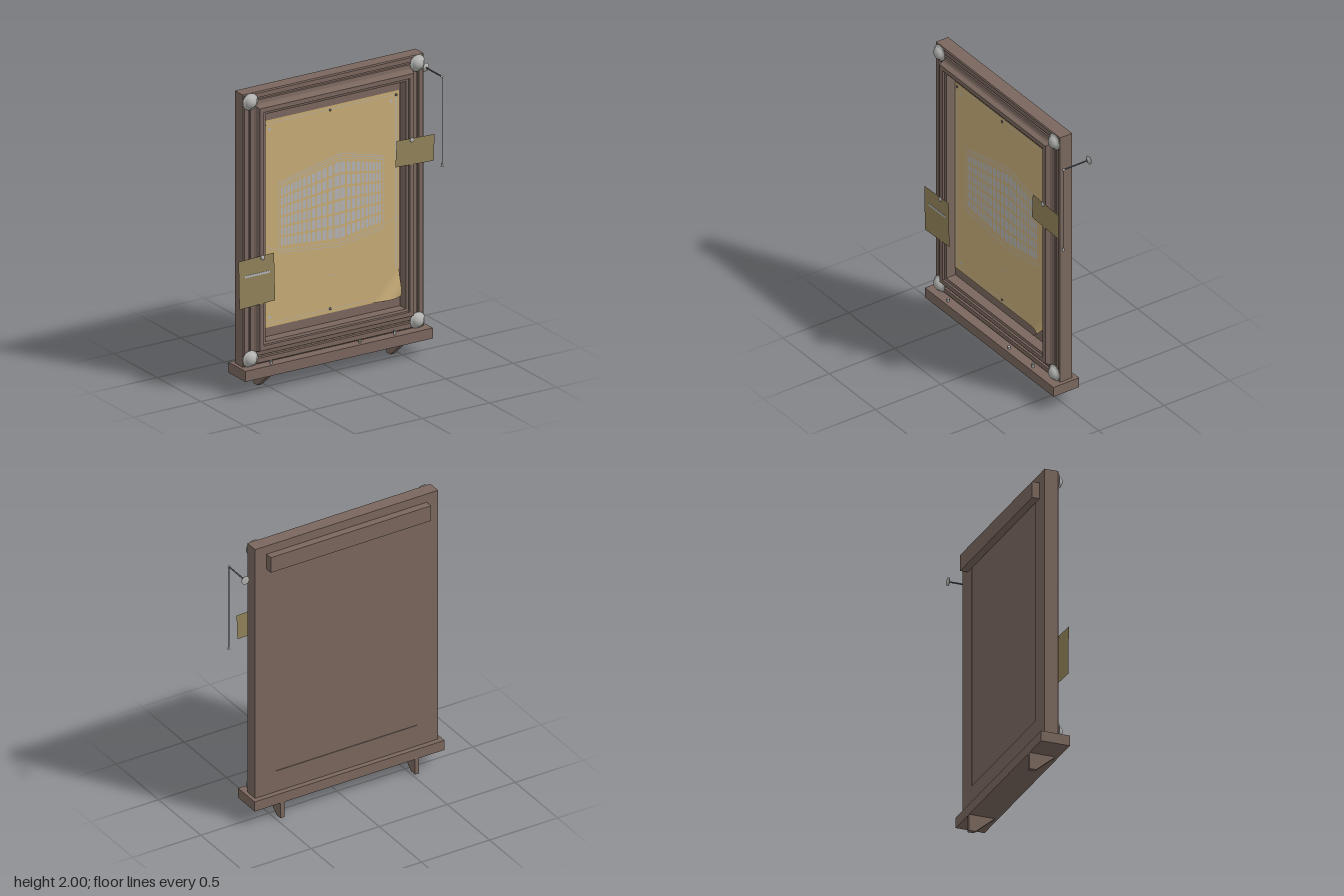
import * as THREE from 'three';
import { mergeGeometries } from 'three/addons/utils/BufferGeometryUtils.js';

const mat = (name, color, side = THREE.FrontSide) => {
  const m = new THREE.MeshStandardMaterial({ color, side });
  m.name = name;
  return m;
};

export function createModel() {
  const wood = mat('brown wood', 0x7a675e);
  const paper = mat('tan paper', 0xc6ab77, THREE.DoubleSide);
  const notePaper = mat('olive note paper', 0x91835a, THREE.DoubleSide);
  const ink = mat('pale grey ink', 0xb4b4b6, THREE.DoubleSide);
  const metal = mat('silver metal', 0xb2b2b0);
  const darkMetal = mat('dark metal', 0x66666a);

  const model = new THREE.Group();
  model.name = 'noticeBoard';
  const add = (name, geometry, material, x = 0, y = 0, z = 0) => {
    const mesh = new THREE.Mesh(geometry, material);
    mesh.name = name;
    mesh.position.set(x, y, z);
    model.add(mesh);
    return mesh;
  };
  // box given by its two corners
  const block = (name, m, x0, x1, y0, y1, z0, z1) =>
    add(name, new THREE.BoxGeometry(x1 - x0, y1 - y0, z1 - z0), m, (x0 + x1) / 2, (y0 + y1) / 2, (z0 + z1) / 2);
  // flat-shaded geometry from a list of four-cornered faces
  const quads = (faces) => {
    const p = [];
    for (const [a, b, c, d] of faces) p.push(...a, ...b, ...c, ...a, ...c, ...d);
    const g = new THREE.BufferGeometry();
    g.setAttribute('position', new THREE.Float32BufferAttribute(p, 3));
    g.computeVertexNormals();
    return g;
  };

  // mitred moulding: [inset from outer edge, z]
  const X0 = -0.71, X1 = 0.635, Y0 = 0.18, Y1 = 2;
  const profile = [[0, -0.055], [0, 0.036], [0.008, 0.042], [0.038, 0.042], [0.042, 0.03], [0.052, 0.03],
    [0.056, 0.038], [0.08, 0.042], [0.09, 0.05], [0.1, 0.08], [0.13, 0.08], [0.134, 0.068], [0.15, 0.064],
    [0.15, -0.055]];
  const rings = profile.map(([o, z]) => [[X0 + o, Y0 + o, z], [X1 - o, Y0 + o, z], [X1 - o, Y1 - o, z], [X0 + o, Y1 - o, z]]);
  const faces = [];
  rings.forEach((r, i) => {
    const n = rings[(i + 1) % rings.length];
    for (let k = 0; k < 4; k++) faces.push([r[k], r[(k + 1) % 4], n[(k + 1) % 4], n[k]]);
  });
  add('mouldedFrame', quads(faces), wood);

  // back panel, hanging rail and shelf
  block('backPanel', wood, -0.56, 0.485, 0.33, 1.85, -0.051, -0.005);
  block('hangingRail', wood, -0.626, 0.55, 1.83, 1.94, -0.105, -0.055);
  block('shelf', wood, -0.735, 0.66, 0.11, 0.18, -0.09, 0.105);

  // shelf brackets, drawn in side profile and turned to face along x
  const side = new THREE.Shape();
  side.moveTo(-0.085, 0.11).lineTo(0.045, 0).lineTo(0.09, 0).lineTo(0.09, 0.11);
  for (const x of [-0.548, 0.44]) {
    const g = new THREE.ExtrudeGeometry(side, { depth: 0.03, bevelEnabled: false });
    add('shelfBracket', g.rotateY(Math.PI / 2), wood, x, 0, 0);
  }

  // domed corner bosses
  const boss = [[0, 0.026], [0.03, 0.028], [0.044, 0.036], [0.055, 0.042], [0.055, 0.047], [0.043, 0.051],
    [0.041, 0.057], [0.036, 0.066], [0.027, 0.074], [0.015, 0.08], [0, 0.082]].map(([r, z]) => new THREE.Vector2(r, z));
  const bossGeometry = new THREE.LatheGeometry(boss, 32).rotateX(Math.PI / 2);
  for (const x of [-0.66, 0.584]) for (const y of [0.228, 1.947]) add('cornerBoss', bossGeometry, metal, x, y);

  // poster with its lower right corner rolled forward
  const PX0 = -0.553, PX1 = 0.474, PY0 = 0.392, PY1 = 1.777;
  const sheet = new THREE.PlaneGeometry(PX1 - PX0, PY1 - PY0, 60, 80);
  sheet.translate((PX0 + PX1) / 2, (PY0 + PY1) / 2, 0);
  const pos = sheet.attributes.position, R = 0.075;
  for (let i = 0; i < pos.count; i++) {
    const x = pos.getX(i), y = pos.getY(i);
    const d = (0.2 - (PX1 - x) - (y - PY0)) / Math.SQRT2;
    if (d <= 0) continue;
    const shift = (R * Math.sin(d / R) - d) / Math.SQRT2;
    pos.setXYZ(i, x + shift, y - shift, R * (1 - Math.cos(d / R)));
  }
  sheet.computeVertexNormals();
  add('poster', sheet, paper, 0, 0, 0.002);

  // printed drawing: thin strokes and a two-sided tower with window grid
  const Z = 0.0045, print = [];
  const stroke = (x0, y0, x1, y1, w) => {
    const l = Math.hypot(x1 - x0, y1 - y0), u = -(y1 - y0) / l * w / 2, v = (x1 - x0) / l * w / 2;
    print.push([[x0 - u, y0 - v, Z], [x1 - u, y1 - v, Z], [x1 + u, y1 + v, Z], [x0 + u, y0 + v, Z]]);
  };
  const lerp = THREE.MathUtils.lerp;
  const corner = 0.035;
  for (const [edge, top, bottom, cols] of [[-0.41, 1.31, 0.915, 13], [0.34, 1.33, 0.915, 10]]) {
    // columns widen towards the near corner
    const at = (t) => lerp(corner, edge, 1.5 * t / (1 + 0.5 * t) * (1 - 0.0 * t));
    const point = (t, v) => {
      const x = at(t), s = (x - corner) / (edge - corner);
      return [x, lerp(lerp(0.87, bottom, s), lerp(1.4, top, s), v), Z];
    };
    for (let c = 0; c < cols; c++) for (let r = 0; r < 6; r++) {
      const a = (c + 0.14) / cols, b = (c + 0.84) / cols, lo = (r + 0.1) / 6, hi = (r + 0.9) / 6;
      const q = [point(a, lo), point(b, lo), point(b, hi), point(a, hi)];
      print.push(edge > corner ? q : q.reverse());
    }
    const out = edge + Math.sign(edge) * 0.015;
    for (const h of [0, 0.02, 0.035]) stroke(corner, 1.41 + h, out, top + 0.01 + h * 0.7, 0.004);
    for (const h of [0, 0.025]) stroke(corner, 0.85 - h, out, bottom - 0.02 - h * 0.7, 0.004);
    stroke(out, bottom - 0.02, out, top + 0.01, 0.004);
  }
  stroke(corner, 0.83, corner, 1.44, 0.004);
  stroke(0.34, 0.89, 0.445, 0.935, 0.003);
  stroke(-0.41, 0.89, -0.51, 0.93, 0.003);
  stroke(-0.07, 0.645, 0.005, 0.645, 0.003);
  stroke(0.45, 0.6, 0.45, 1.755, 0.009);
  stroke(-0.53, 0.415, -0.53, 1.755, 0.006);
  for (const y of [0.42, 1.755]) stroke(-0.53, y, y < 1 ? 0.24 : 0.45, y, 0.003);
  for (const [x, y] of [[-0.49, 1.715], [0.415, 1.715], [-0.49, 0.457]]) stroke(x - 0.01, y, x + 0.01, y, 0.02);
  add('posterPrint', quads(print), ink);

  // poster tacks
  const tack = new THREE.SphereGeometry(0.008, 12, 8).scale(1, 1, 0.7);
  for (const [x, y] of [[-0.528, 1.75], [-0.04, 1.75], [0.45, 1.75], [-0.04, 0.422]]) add('posterTack', tack, darkMetal, x, y, 0.006);

  // pinned notes
  const note = (corners) => add('pinnedNote', quads([corners.map(([x, y]) => [x, y, 0.0825])]), notePaper);
  note([[-0.765, 0.59], [-0.5, 0.6], [-0.508, 0.92], [-0.772, 0.912]]);
  note([[0.395, 1.3], [0.68, 1.287], [0.686, 1.463], [0.404, 1.475]]);
  block('noteStripe', ink, -0.725, -0.54, 0.793, 0.808, 0.083, 0.085);
  const pin = new THREE.SphereGeometry(0.015, 16, 10).scale(1, 1, 0.5);
  add('notePin', pin, metal, -0.595, 0.905, 0.086);
  add('notePin', pin, metal, 0.516, 1.46, 0.086);

  // loose pins lying on the shelf
  for (const [x, h] of [[-0.525, 0.022], [0.135, 0.016], [0.395, 0.03]]) {
    const g = mergeGeometries([
      new THREE.CylinderGeometry(0.007, 0.009, h, 12).translate(0, h / 2, 0),
      new THREE.SphereGeometry(0.01, 12, 8).scale(1, 0.6, 1).translate(0, h * 0.8, 0)]);
    add('shelfPin', g, metal, x, 0.18, 0.075);
  }

  // wall rod with flared plate, hanging cord and weight
  const HX = 0.74, HY = 1.837;
  const plate = [[0, -0.11], [0.028, -0.11], [0.028, -0.106], [0.015, -0.1], [0.006, -0.094], [0, -0.094]]
    .map(([r, z]) => new THREE.Vector2(r, z));
  add('rodPlate', new THREE.LatheGeometry(plate, 24).rotateX(Math.PI / 2), metal, HX, HY);
  add('rod', new THREE.CylinderGeometry(0.005, 0.005, 0.18, 12).rotateX(Math.PI / 2), darkMetal, HX, HY, -0.007);
  add('rodTip', new THREE.SphereGeometry(0.009, 12, 8), metal, HX, HY, 0.084);
  add('cord', new THREE.CylinderGeometry(0.0022, 0.0022, 0.58, 6), darkMetal, HX, 1.545, 0.086);
  add('cordWeight', new THREE.CylinderGeometry(0.003, 0.009, 0.03, 12), metal, HX, 1.25, 0.086);

  return model;
}
